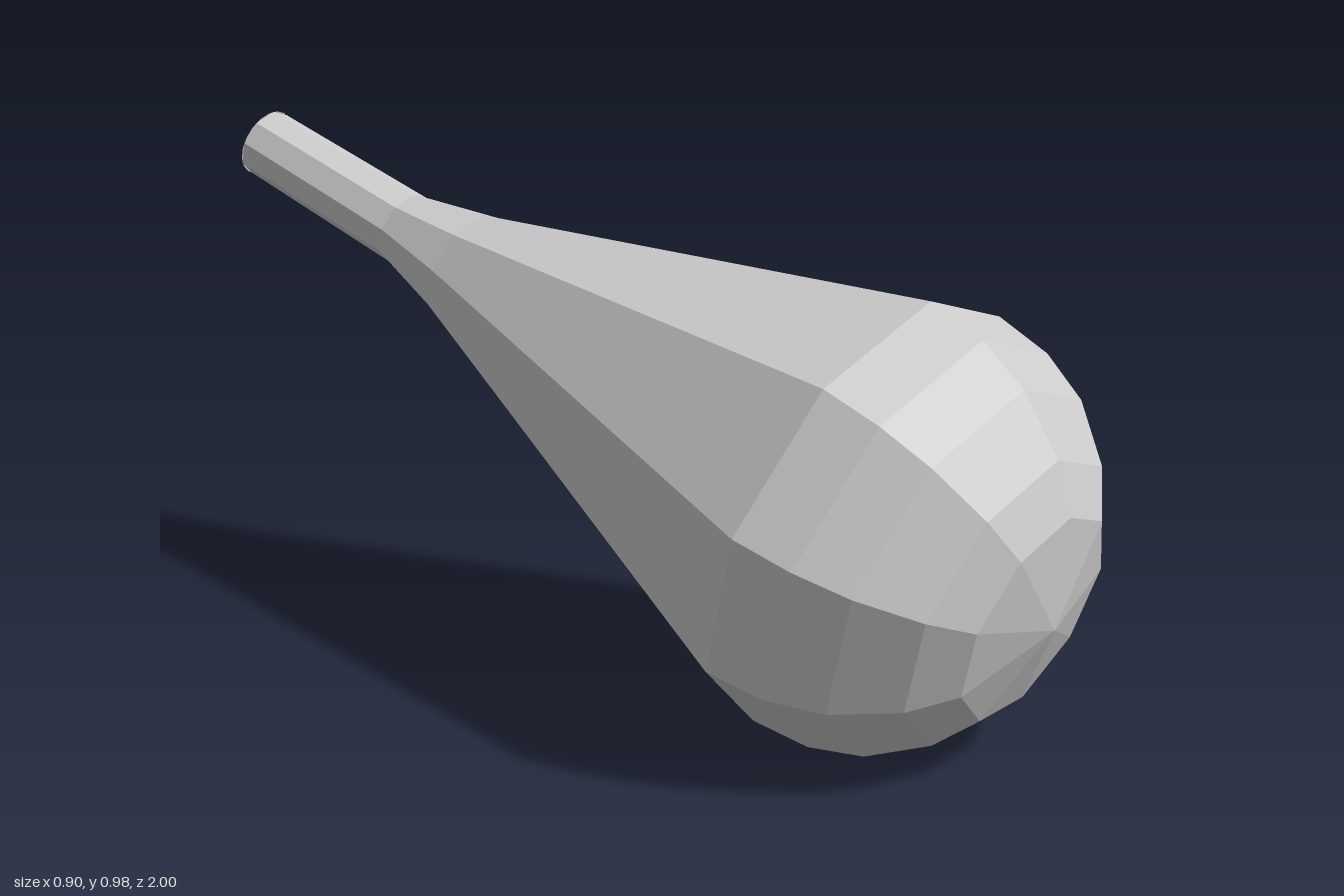
import * as THREE from 'three';

export function createModel() {
  const group = new THREE.Group();
  const sides = 9;
  const material = new THREE.MeshStandardMaterial({ color: 0xcccccc, flatShading: true });

  // Tilted frame: local y runs from the rounded tip to the end of the neck,
  // local z points at the uppermost facet corner.
  const tip = new THREE.Vector3(0.06, 0.31, 0.975);
  const end = new THREE.Vector3(-0.24, 0.907, -0.975);
  const length = tip.distanceTo(end);
  const yAxis = end.clone().sub(tip).normalize();
  const zAxis = new THREE.Vector3(0.037, 0.442, 0.13);
  zAxis.addScaledVector(yAxis, -zAxis.dot(yAxis)).normalize();
  const xAxis = new THREE.Vector3().crossVectors(yAxis, zAxis);
  group.name = 'bulbFlask';
  const flask = new THREE.Group();
  flask.name = 'tiltedFlask';
  flask.quaternion.setFromRotationMatrix(new THREE.Matrix4().makeBasis(xAxis, yAxis, zAxis));
  flask.position.copy(tip);
  group.add(flask);

  const addLathe = (name, profile) => {
    const points = profile.map(([r, t]) => new THREE.Vector2(r, t));
    const mesh = new THREE.Mesh(new THREE.LatheGeometry(points, sides), material);
    mesh.name = name;
    flask.add(mesh);
  };

  // Rounded bulb, then the long taper, then the straight neck
  addLathe('bulb', [[0, 0], [0.222, 0.047], [0.312, 0.109], [0.402, 0.22], [0.447, 0.331], [0.463, 0.457]]);
  addLathe('taper', [[0.463, 0.457], [0.122, 1.48], [0.077, 1.66]]);
  addLathe('neck', [[0.077, 1.66], [0.072, length]]);

  // Flat disc closing the neck
  const capMaterial = material.clone();
  capMaterial.side = THREE.DoubleSide;
  const cap = new THREE.Mesh(new THREE.CircleGeometry(0.072, sides * 2).rotateX(-Math.PI / 2), capMaterial);
  cap.name = 'neckCap';
  cap.position.y = length;
  flask.add(cap);

  return group;
}
